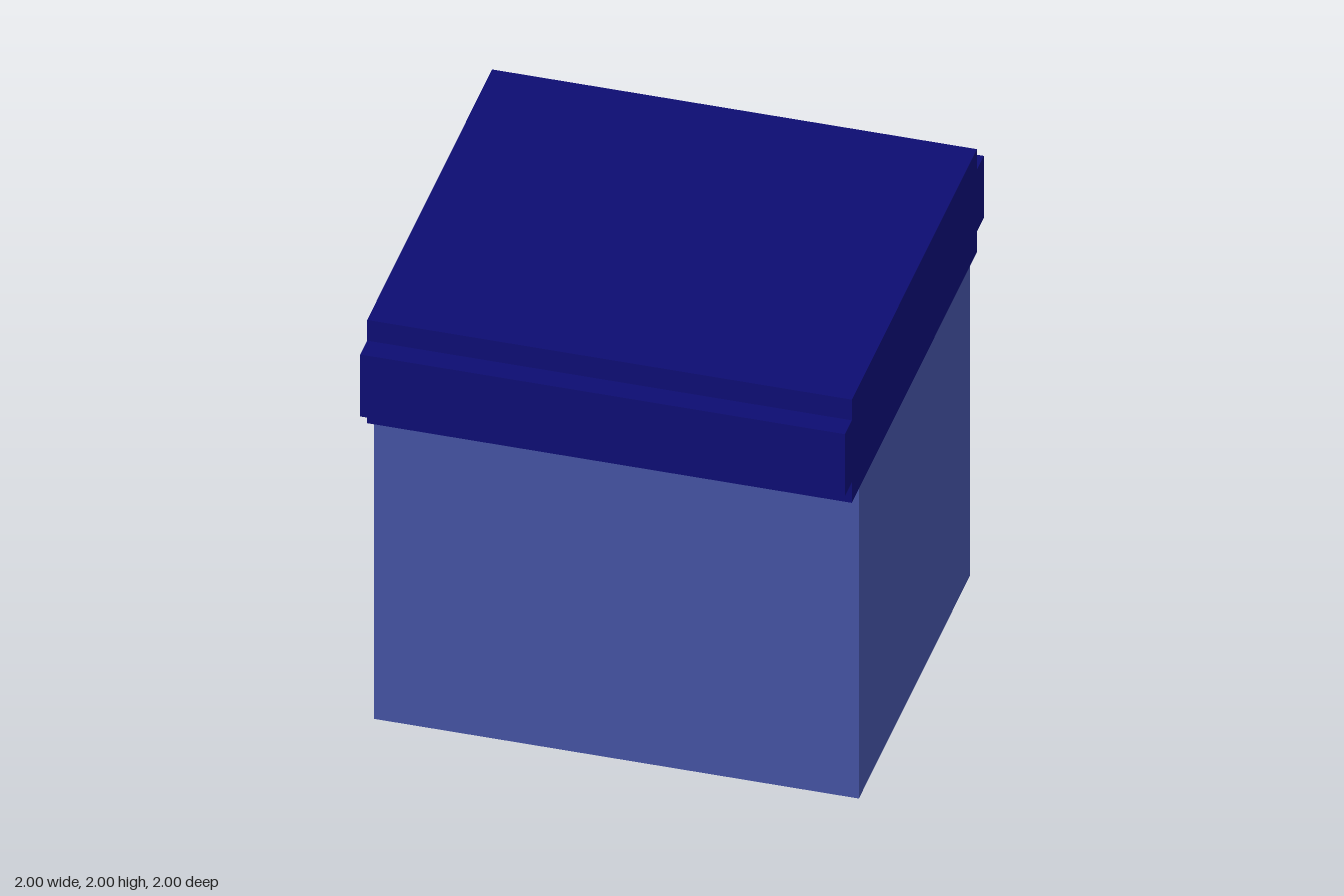
import * as THREE from 'three';

export function createModel() {
  const model = new THREE.Group();
  model.name = 'block';

  const navy = new THREE.MeshStandardMaterial({ name: 'navy', color: 0x0d0d72 });
  const slateBlue = new THREE.MeshStandardMaterial({ name: 'slateBlue', color: 0x4351a0 });

  // Main body
  const body = new THREE.Mesh(new THREE.BoxGeometry(2, 1.5, 1.6), slateBlue);
  body.name = 'body';
  body.position.y = 0.75;
  model.add(body);

  // Stepped cap: half profile mirrored, then extruded along x
  const half = [[0.9, 1.5], [0.9, 1.6], [1, 1.6], [1, 1.9], [0.9, 1.9], [0.9, 2]];
  const mirrored = half.map(([z, y]) => [-z, y]).reverse();
  const profile = new THREE.Shape([...half, ...mirrored].map(([z, y]) => new THREE.Vector2(z, y)));
  const capGeometry = new THREE.ExtrudeGeometry(profile, { depth: 2, bevelEnabled: false });
  capGeometry.translate(0, 0, -1).rotateY(Math.PI / 2);
  const cap = new THREE.Mesh(capGeometry, navy);
  cap.name = 'cap';
  model.add(cap);

  return model;
}
